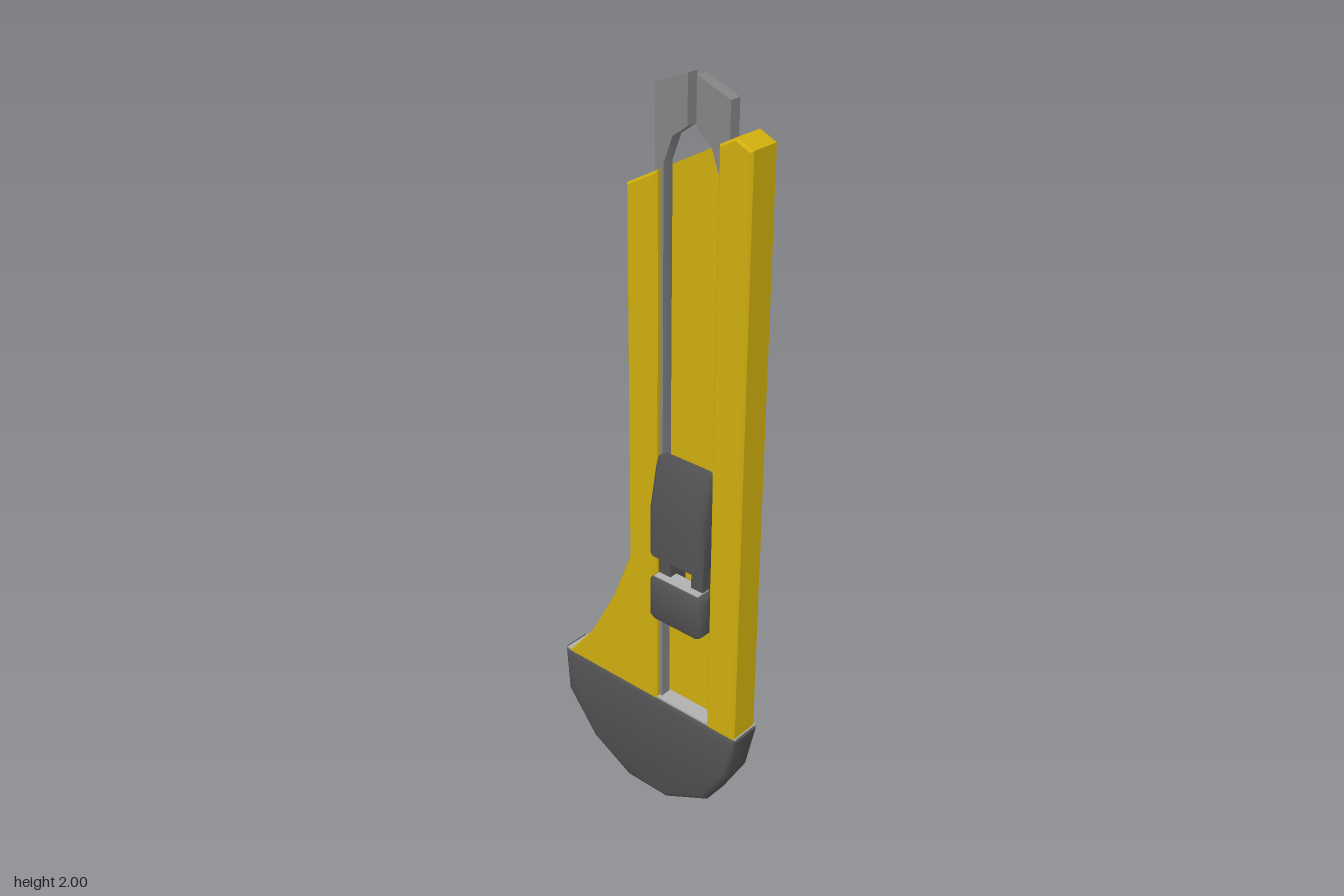
import * as THREE from 'three';
import { toCreasedNormals } from 'three/addons/utils/BufferGeometryUtils.js';

const paint = (name, color) => new THREE.MeshStandardMaterial({ name, color });

// Moves every edge of a counter-clockwise outline inwards by d.
function inset(points, d) {
  const n = points.length;
  return points.map((p, i) => {
    const a = points[(i + n - 1) % n], b = points[(i + 1) % n];
    const u = new THREE.Vector2(p[0] - a[0], p[1] - a[1]).normalize();
    const v = new THREE.Vector2(b[0] - p[0], b[1] - p[1]).normalize();
    const k = d / (1 + u.dot(v));
    return [p[0] - (u.y + v.y) * k, p[1] + (u.x + v.x) * k];
  });
}

// Solid built from one outline stacked in layers of [z, inset].
function slab(points, layers, crease = 0.6) {
  const n = points.length, pos = [], index = [];
  for (const [z, d] of layers) for (const [x, y] of inset(points, d)) pos.push(x, y, z);
  for (let k = 0; k < layers.length - 1; k++) {
    for (let i = 0; i < n; i++) {
      const a = k * n + i, b = k * n + (i + 1) % n;
      index.push(a, b, b + n, a, b + n, a + n);
    }
  }
  const last = (layers.length - 1) * n;
  const outline = points.map(([x, y]) => new THREE.Vector2(x, y));
  for (const [a, b, c] of THREE.ShapeUtils.triangulateShape(outline, [])) {
    index.push(c, b, a, last + a, last + b, last + c);
  }
  const g = new THREE.BufferGeometry();
  g.setAttribute('position', new THREE.Float32BufferAttribute(pos, 3));
  g.setIndex(index);
  g.computeVertexNormals();
  return toCreasedNormals(g, crease);
}

export function createModel() {
  const yellow = paint('yellow plastic', 0xcfae0e);
  const dark = paint('dark grey plastic', 0x525252);
  const steel = paint('grey steel', 0x848484);
  const light = paint('light grey', 0xb0b0b0);

  const model = new THREE.Group();
  model.name = 'utilityKnife';
  const add = (name, geometry, material, parent = model) => {
    const mesh = new THREE.Mesh(geometry, material);
    mesh.name = name;
    parent.add(mesh);
    return mesh;
  };
  const box = (name, x0, x1, y0, y1, z0, z1, material, parent) =>
    add(name, new THREE.BoxGeometry(x1 - x0, y1 - y0, z1 - z0), material, parent)
      .position.set((x0 + x1) / 2, (y0 + y1) / 2, (z0 + z1) / 2);

  // Handle: a back plate with two raised strips leaving a groove between them
  const body = new THREE.Group();
  body.name = 'handle';
  model.add(body);
  const flare = [[-0.06, 0.73], [-0.12, 0.58], [-0.2, 0.43], [-0.29, 0.32]];
  const tip = [[0.295, 1.875], [0.25, 1.895]];
  add('backPlate', slab([[0.295, 0.32], ...tip, [-0.06, 1.725], ...flare],
    [[-0.06, 0.008], [-0.052, 0], [-0.02, 0]]), yellow, body);
  const front = [[-0.02, 0], [0.024, 0], [0.03, 0.006]];
  add('rightStrip', slab([[0.032, 0.32], [0.032, 1.775], [-0.06, 1.725], ...flare], front), yellow, body);
  add('leftStrip', slab([[0.295, 0.32], ...tip, [0.204, 1.87], [0.204, 0.32]], front), yellow, body);

  // Rounded end cap
  add('endCap', slab([
    [-0.305, 0.325], [-0.295, 0.19], [-0.2, 0.07], [-0.07, 0],
    [0.07, 0], [0.205, 0.07], [0.275, 0.19], [0.305, 0.325],
  ], [[-0.065, 0.016], [-0.06, 0.006], [-0.05, 0], [0.018, 0], [0.028, 0.006], [0.033, 0.016]], 0.9), dark);
  box('endCapTop', -0.298, 0.298, 0.322, 0.328, -0.057, 0.025, light);

  // Blade carrier: two long rails ending in hooked prongs with a slit between
  const prong = [
    [0.015, 0.326], [0.04, 0.326], [0.04, 1.79], [0.065, 1.855],
    [0.107, 1.885], [0.107, 2.0], [0.015, 1.965],
  ];
  const mirrored = prong.map(([x, y]) => [0.239 - x, y]).reverse();
  add('rightProng', slab(prong, [[-0.015, 0], [0.015, 0]]), steel);
  add('leftProng', slab(mirrored, [[-0.015, 0], [0.015, 0]]), steel);

  // Thumb slider: side profiles drawn as [-z, y] and swept across x
  const slider = new THREE.Group();
  slider.name = 'slider';
  model.add(slider);
  const across = [[0.037, 0.012], [0.043, 0.004], [0.053, 0], [0.19, 0], [0.2, 0.004], [0.208, 0.012]];
  const pad = (name, profile) =>
    add(name, slab(profile, across, 0.8).rotateY(Math.PI / 2), dark, slider);
  pad('thumbPad', [
    [-0.012, 0.8], [-0.012, 1.07], [-0.035, 1.07], [-0.045, 1.045],
    [-0.066, 0.94], [-0.066, 0.8],
  ]);
  pad('lowerPad', [
    [-0.012, 0.61], [-0.012, 0.735], [-0.06, 0.735], [-0.066, 0.728],
    [-0.066, 0.62], [-0.06, 0.61],
  ]);
  box('lowerPadTop', 0.05, 0.193, 0.731, 0.737, 0.015, 0.058, light, slider);
  for (const x of [0.05, 0.155]) box('sliderLink', x, x + 0.037, 0.65, 0.9, -0.02, 0.038, dark, slider);

  return model;
}
